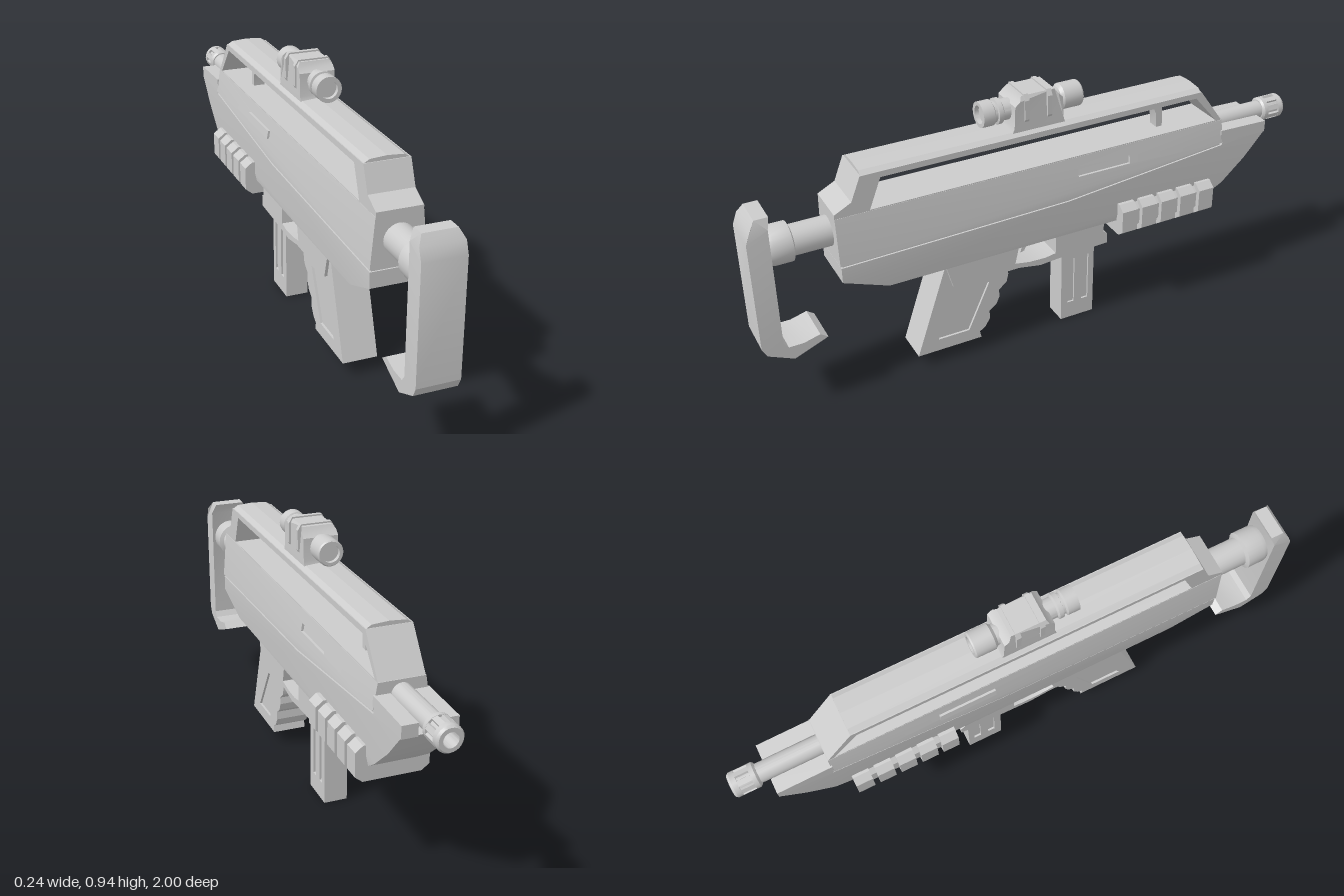
import * as THREE from 'three';
import { toCreasedNormals, mergeGeometries } from 'three/addons/utils/BufferGeometryUtils.js';

const material = new THREE.MeshStandardMaterial({ color: 0xcccccc });
const vec = (pts) => pts.map(([a, b]) => new THREE.Vector2(a, b));

function add(parent, name, geometry) {
  const mesh = new THREE.Mesh(geometry, material);
  mesh.name = name;
  parent.add(mesh);
  return mesh;
}

// Side outline of [z, y] points given a thickness in x; half is a number or a rule of y
function slab(outline, half, holes = []) {
  const shape = new THREE.Shape(vec(outline));
  holes.forEach((h) => shape.holes.push(new THREE.Path(vec(h))));
  const geo = new THREE.ExtrudeGeometry(shape, { depth: 2, bevelEnabled: false });
  geo.translate(0, 0, -1).rotateY(-Math.PI / 2);
  const p = geo.attributes.position;
  for (let i = 0; i < p.count; i++) {
    const h = typeof half === 'function' ? half(p.getY(i)) : half;
    p.setX(i, Math.sign(p.getX(i)) * h);
  }
  return toCreasedNormals(geo, 0.4);
}

// Front outline of [x, y] points pulled along z
function prism(outline, z0, z1) {
  const geo = new THREE.ExtrudeGeometry(new THREE.Shape(vec(outline)), { depth: z1 - z0, bevelEnabled: false });
  return geo.translate(0, 0, z0);
}

// Turned part along z; profile is [radius, z] with rising z on the outside
function turned(profile, y, sides = 24) {
  const geo = new THREE.LatheGeometry(vec(profile), sides).rotateX(Math.PI / 2).translate(0, y, 0);
  return toCreasedNormals(geo, 0.5);
}

const rect = (z0, z1, y0, y1) => [[z0, y0], [z1, y0], [z1, y1], [z0, y1]];

// Octagonal front outline with chamfered corners
const octagon = (w, y0, y1, cx, cy) => [
  [-w, y0 + cy], [-w + cx, y0], [w - cx, y0], [w, y0 + cy],
  [w, y1 - cy], [w - cx, y1], [-w + cx, y1], [-w, y1 - cy],
];

function buildBody(root) {
  const body = new THREE.Group();
  body.name = 'body';
  root.add(body);

  // Lower shell with the raked nose
  add(body, 'lowerShell', slab([
    [0.725, 0.503], [0.725, 0.45], [0.57, 0.385], [-0.65, 0.385], [-0.71, 0.425], [-0.8, 0.505],
    [-0.88, 0.595], [-0.7, 0.595], [-0.695, 0.58], [-0.08, 0.52],
  ], (y) => (y < 0.4 ? 0.08 : 0.088)));

  // Core behind the seam between the shells
  add(body, 'seamCore', slab([
    [0.72, 0.49], [-0.08, 0.505], [-0.69, 0.56], [-0.69, 0.6], [-0.08, 0.545], [0.72, 0.525],
  ], 0.082));

  // Upper shell leaning inward, with a port on the left side only
  const lean = (y) => 0.09 - 0.014 * THREE.MathUtils.clamp((y - 0.59) / 0.085, 0, 1);
  const port = rect(-0.315, -0.115, 0.605, 0.633);
  add(body, 'upperShell', slab([
    [0.728, 0.511], [-0.08, 0.529], [-0.695, 0.59], [-0.695, 0.675], [0.728, 0.675],
  ], lean, [port]));
  add(body, 'portFloor', slab(port, lean).translate(-0.008, 0, 0)).scale.x = 0.995;
  add(body, 'portBacking', slab(port, 0.07).translate(-0.0185, 0, 0));

  // Cheeks either side of the barrel
  [-1, 1].forEach((s) => add(body, 'noseCheek', slab([
    [-0.69, 0.59], [-0.88, 0.59], [-0.88, 0.632], [-0.69, 0.637],
  ], 0.026).translate(s * 0.062, 0, 0)));

  // Open carry handle with a ridged top
  add(body, 'carryHandle', slab([
    [0.728, 0.672], [0.728, 0.69], [0.67, 0.72], [0.637, 0.802], [-0.6, 0.802], [-0.695, 0.672],
  ], 0.075, [[[0.613, 0.678], [0.572, 0.782], [-0.58, 0.782], [-0.67, 0.678]]]));
  add(body, 'handleRidge', prism([[-0.075, 0.8], [0.075, 0.8], [0.055, 0.812], [0, 0.816], [-0.055, 0.812]], -0.598, 0.634));
  add(body, 'handleStrut', slab([
    [-0.46, 0.67], [-0.455, 0.73], [-0.43, 0.785], [-0.475, 0.785], [-0.48, 0.73], [-0.482, 0.67],
  ], 0.02));
}

function buildStock(root) {
  const stock = new THREE.Group();
  stock.name = 'stock';
  root.add(stock);
  add(stock, 'buttPlate', slab([
    [0.965, 0.73], [0.92, 0.73], [0.93, 0.695], [0.93, 0.275], [0.915, 0.255], [0.865, 0.255],
    [0.81, 0.27], [0.785, 0.252], [0.9, 0.205], [0.985, 0.245], [1, 0.275], [1, 0.66], [0.985, 0.7],
  ], (y) => (y > 0.71 ? 0.055 : 0.07)));
  add(stock, 'stockTube', turned([
    [0, 0.7], [0.05, 0.7], [0.05, 0.85], [0.065, 0.856], [0.065, 0.915], [0.058, 0.935], [0, 0.935],
  ], 0.597));
}

function buildBarrel(root) {
  const barrel = new THREE.Group();
  barrel.name = 'barrel';
  root.add(barrel);
  add(barrel, 'barrelTube', turned([
    [0, -0.94], [0.033, -0.94], [0.033, -0.68], [0, -0.68],
  ], 0.632));
  // Muzzle: hollow core, end rings and ribs that leave slots between them
  add(barrel, 'muzzle', turned([
    [0, -0.93], [0.024, -0.93], [0.024, -1], [0.037, -1], [0.043, -0.992], [0.043, -0.975], [0.035, -0.975],
    [0.035, -0.93], [0.043, -0.93], [0.043, -0.915], [0.037, -0.908], [0, -0.908],
  ], 0.632));
  for (let i = 0; i < 8; i++) {
    const rib = new THREE.BoxGeometry(0.018, 0.014, 0.05).translate(0, 0.035, 0);
    add(barrel, 'muzzleRib', rib.rotateZ((i + 0.5) * Math.PI / 4).translate(0, 0.632, -0.952));
  }
}

function buildGrip(root) {
  const grip = new THREE.Group();
  grip.name = 'grip';
  root.add(grip);
  // Handle with finger waves and a sunken panel on both sides
  const panel = [[0.3, 0.27], [0.21, 0.27], [0.29, 0.095], [0.405, 0.095]];
  add(grip, 'gripHandle', slab([
    [0.365, 0.39], [0.48, 0.05], [0.245, 0.05], [0.25, 0.075], [0.228, 0.09], [0.21, 0.12], [0.212, 0.15],
    [0.185, 0.17], [0.172, 0.2], [0.175, 0.225], [0.145, 0.25], [0.138, 0.28], [0.14, 0.3], [0.11, 0.39],
  ], 0.06, [panel]));
  add(grip, 'gripPanel', slab(panel, 0.052));
  add(grip, 'gripCollar', slab([[0.37, 0.39], [0.345, 0.298], [0.12, 0.298], [0.1, 0.39]], 0.07));

  // Trigger guard and trigger
  add(grip, 'triggerGuard', slab([
    [0.13, 0.298], [0.1, 0.298], [0.02, 0.284], [-0.06, 0.29], [-0.06, 0.318], [0, 0.308], [0.06, 0.31], [0.13, 0.322],
  ], 0.07));
  add(grip, 'trigger', slab([
    [0.07, 0.39], [0.062, 0.35], [0.07, 0.32], [0.055, 0.325], [0.04, 0.355], [0.038, 0.39],
  ], 0.018));
}

function buildMagazine(root) {
  const magazine = new THREE.Group();
  magazine.name = 'magazine';
  root.add(magazine);
  add(magazine, 'magazineWell', slab([
    [-0.04, 0.39], [-0.04, 0.31], [-0.06, 0.29], [-0.245, 0.297], [-0.245, 0.335], [-0.23, 0.345], [-0.23, 0.39],
  ], 0.07));
  const slots = [rect(-0.132, -0.106, 0.065, 0.25), rect(-0.188, -0.162, 0.065, 0.25)];
  add(magazine, 'magazineBox', slab(rect(-0.21, -0.08, 0, 0.3), 0.041, slots));
  slots.forEach((s) => add(magazine, 'magazineSlotFloor', slab(s, 0.034)));
}

function buildRail(root) {
  // Ribbed foregrip wrapped under the nose
  const rail = new THREE.Group();
  rail.name = 'foregripRail';
  root.add(rail);
  add(rail, 'railBase', prism(octagon(0.105, 0.347, 0.445, 0.02, 0.02), -0.645, -0.28));
  const ribs = [];
  for (let i = 0; i < 5; i++) {
    const z = -0.65 + i * 0.079;
    ribs.push(prism(octagon(0.122, 0.335, 0.456, 0.025, 0.02), z, z + 0.06));
  }
  add(rail, 'railRibs', mergeGeometries(ribs));
}

function buildScope(root) {
  const scope = new THREE.Group();
  scope.name = 'scope';
  root.add(scope);
  // Mount block with a flared foot and two clamp bands
  const width = (y) => (y > 0.92 ? 0.05 : 0.06);
  add(scope, 'scopeMount', slab([
    [0.115, 0.81], [0.108, 0.825], [0.105, 0.9], [0.088, 0.915], [0.08, 0.931],
    [-0.04, 0.931], [-0.05, 0.915], [-0.066, 0.9], [-0.07, 0.825], [-0.075, 0.81],
  ], width));
  [0.056, -0.026].forEach((z) => {
    add(scope, 'clampBand', prism(octagon(0.064, 0.83, 0.936, 0.012, 0.02), z, z + 0.016));
  });
  // Tube with recessed lenses at both ends
  add(scope, 'scopeTube', turned([
    [0, -0.14], [0.03, -0.14], [0.03, -0.155], [0.04, -0.155], [0.044, -0.15], [0.044, -0.085], [0.035, -0.075],
    [0.035, 0.13], [0.043, 0.135], [0.043, 0.15], [0.035, 0.152], [0.035, 0.16], [0.043, 0.165],
    [0.043, 0.205], [0.03, 0.205], [0.03, 0.19], [0, 0.19],
  ], 0.872));
}

export function createModel() {
  const model = new THREE.Group();
  model.name = 'rifle';
  [buildBody, buildStock, buildBarrel, buildGrip, buildMagazine, buildRail, buildScope].forEach((build) => build(model));
  return model;
}
